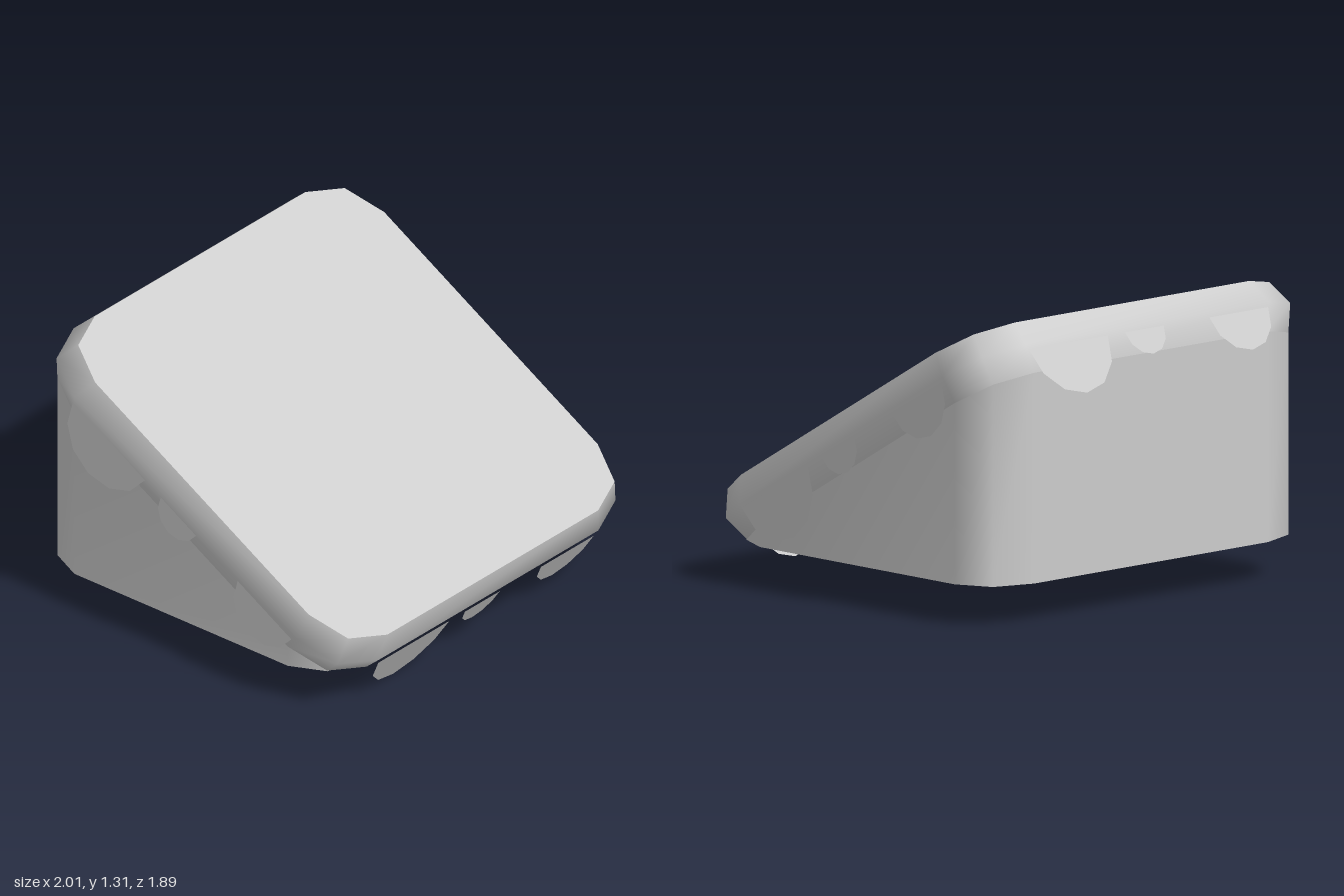
import * as THREE from 'three';

const TILT = Math.PI / 6, THICK = 0.237, GROUND = 0.18;
const CENTRE_Y = 0.831, CENTRE_Z = 0.111;

const grey = () => new THREE.MeshStandardMaterial({ color: 0xcccccc, side: THREE.DoubleSide });

// Square with chamfered round corners, as [x, z] points turning from +x to +z
function roundedSquare(scale = 1) {
  const points = [];
  for (let k = 0; k < 4; k++) {
    for (let [x, z] of [[0.96, 0.7], [0.885, 0.885], [0.7, 0.96]]) {
      for (let r = 0; r < k; r++) [x, z] = [-z, x];
      points.push([x * scale, z * scale]);
    }
  }
  return points;
}

function indexed(points, index) {
  const geometry = new THREE.BufferGeometry();
  geometry.setAttribute('position', new THREE.Float32BufferAttribute(points.flat(), 3));
  geometry.setIndex(index);
  geometry.computeVertexNormals();
  return geometry;
}

// Smooth wall through rings listed from top to bottom
function wall(rings) {
  const n = rings[0].length, index = [];
  for (let r = 0; r < rings.length - 1; r++) {
    for (let i = 0; i < n; i++) {
      const u = r * n + i, v = r * n + (i + 1) % n;
      index.push(u + n, u, v + n, u, v, v + n);
    }
  }
  return indexed(rings.flat(), index);
}

// Flat cap over one ring
function cap(ring, up) {
  const index = [];
  for (let i = 1; i < ring.length - 1; i++) index.push(0, up ? i + 1 : i, up ? i : i + 1);
  return indexed(ring, index);
}

function add(parent, name, geometry) {
  const mesh = new THREE.Mesh(geometry, grey());
  mesh.name = name;
  parent.add(mesh);
  return mesh;
}

// Tilted turf slab with a bulging rim
function createTurf() {
  const turf = new THREE.Group();
  turf.name = 'turf';
  const ring = (scale, y) => roundedSquare(scale).map(([x, z]) => [x, y, z]);
  const top = ring(1, 0), middle = ring(1.042, -THICK / 2), bottom = ring(1, -THICK);
  add(turf, 'turfTop', cap(top, true));
  add(turf, 'turfRim', wall([top, middle, bottom]));
  add(turf, 'turfUnderside', cap(bottom, false));

  // Thin half-round flaps hanging from each side: offset along the side, radius
  const flaps = [[-0.485, 0.236], [-0.03, 0.116], [0.535, 0.176]];
  for (let side = 0; side < 4; side++) {
    const edge = new THREE.Group();
    edge.name = 'flapRow';
    edge.rotation.y = side * Math.PI / 2;
    for (const [x, radius] of flaps) {
      const flap = add(edge, 'flap', new THREE.CircleGeometry(radius, 6, Math.PI, Math.PI));
      flap.position.set(x, -0.142, 1.003);
    }
    turf.add(edge);
  }
  turf.rotation.x = TILT;
  turf.position.set(0, CENTRE_Y, CENTRE_Z);
  return turf;
}

// Upright block under the turf, cut off where the slope meets its floor
function createBase() {
  const base = new THREE.Group();
  base.name = 'base';
  const sin = Math.sin(TILT), cos = Math.cos(TILT);
  const midY = CENTRE_Y - THICK * cos, midZ = CENTRE_Z - THICK * sin;
  const slopeY = z => midY - (z - midZ) * sin / cos;
  const frontZ = midZ + (midY - GROUND) * cos / sin;

  const full = roundedSquare().map(([x, z]) => [x, midZ + z * cos]);
  const outline = [];
  full.forEach((a, i) => {
    const b = full[(i + 1) % full.length];
    if (a[1] <= frontZ) outline.push(a);
    if ((a[1] <= frontZ) !== (b[1] <= frontZ)) {
      const t = (frontZ - a[1]) / (b[1] - a[1]);
      outline.push([a[0] + (b[0] - a[0]) * t, frontZ]);
    }
  });
  const top = outline.map(([x, z]) => [x, slopeY(z), z]);
  const bottom = outline.map(([x, z]) => [x, GROUND, z]);
  add(base, 'baseWall', wall([top, bottom]));
  add(base, 'baseFloor', cap(bottom, false));
  return base;
}

export function createModel() {
  const model = new THREE.Group();
  model.name = 'rampBlock';
  model.add(createTurf(), createBase());
  return model;
}
